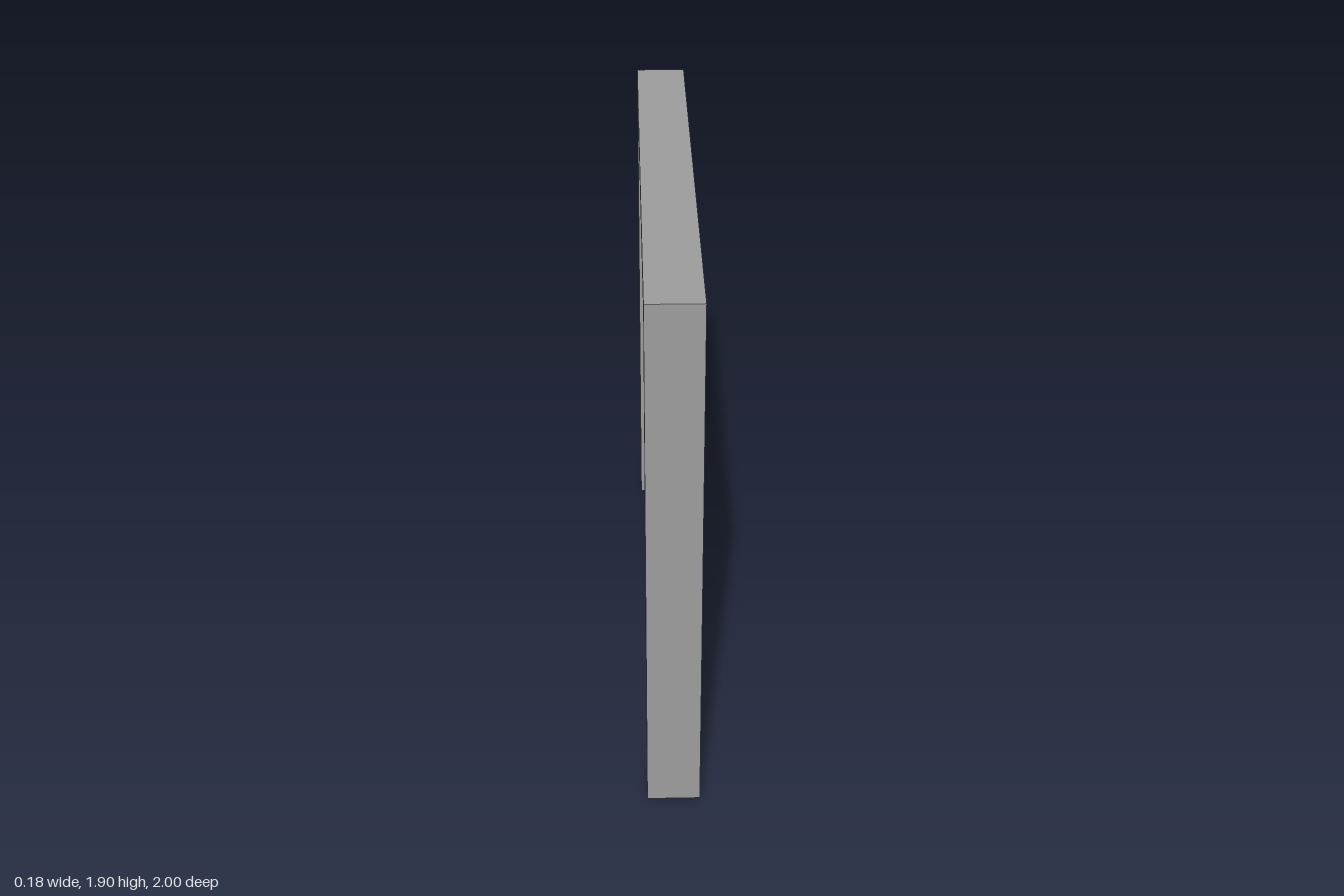
import * as THREE from 'three';

const grey = new THREE.MeshStandardMaterial({ color: 0x9d9d9d });
grey.name = 'grey metal';
const yellow = new THREE.MeshStandardMaterial({ color: 0xc8a520 });
yellow.name = 'yellow paint';

const HEIGHT = 1.9, OPEN_W = 0.908, OPEN_H = 1.82;
const FRAME_T = 0.18, DOOR_T = 0.1, PANE_T = 0.055;
const KICK_TOP = 0.45, DOOR_BOTTOM = 0.006;

// Rectangle outline in the door's plane (u across, y up)
function outline(u0, u1, y0, y1) {
  return [[u0, y0], [u1, y0], [u1, y1], [u0, y1]].map(([u, y]) => new THREE.Vector2(u, y));
}

// Extrude an outline through the wall thickness, centred on x = 0
function slab(name, points, holes, thickness, material) {
  const shape = new THREE.Shape(points);
  holes.forEach((h) => shape.holes.push(new THREE.Path(h)));
  const geometry = new THREE.ExtrudeGeometry(shape, { depth: thickness, bevelEnabled: false });
  geometry.translate(0, 0, -thickness / 2).rotateY(Math.PI / 2);
  const mesh = new THREE.Mesh(geometry, material);
  mesh.name = name;
  return mesh;
}

export function createModel() {
  const group = new THREE.Group();
  group.name = 'door';

  // Two posts joined by a lintel
  const arch = [
    [-1, 0], [-OPEN_W, 0], [-OPEN_W, OPEN_H], [OPEN_W, OPEN_H],
    [OPEN_W, 0], [1, 0], [1, HEIGHT], [-1, HEIGHT],
  ].map(([u, y]) => new THREE.Vector2(u, y));
  group.add(slab('frame', arch, [], FRAME_T, grey));

  // Painted leaf: yellow faces, grey reveals around the openings
  const windows = [-1, 1].map((s) => outline(s * 0.242 - 0.115, s * 0.242 + 0.115, 0.98, 1.59));
  const plate = outline(-0.128, 0.128, 0.595, 0.91);
  group.add(slab('doorLeaf', outline(-OPEN_W, OPEN_W, KICK_TOP, OPEN_H),
    [...windows, plate], DOOR_T, [yellow, grey]));

  // Flush grey areas: kick panel and push plate
  group.add(slab('kickPanel', outline(-OPEN_W, OPEN_W, DOOR_BOTTOM, KICK_TOP), [], DOOR_T, grey));
  group.add(slab('pushPlate', plate, [], DOOR_T, grey));

  // Recessed window panes
  windows.forEach((w, i) => group.add(slab(i ? 'rightPane' : 'leftPane', w, [], PANE_T, grey)));

  return group;
}
